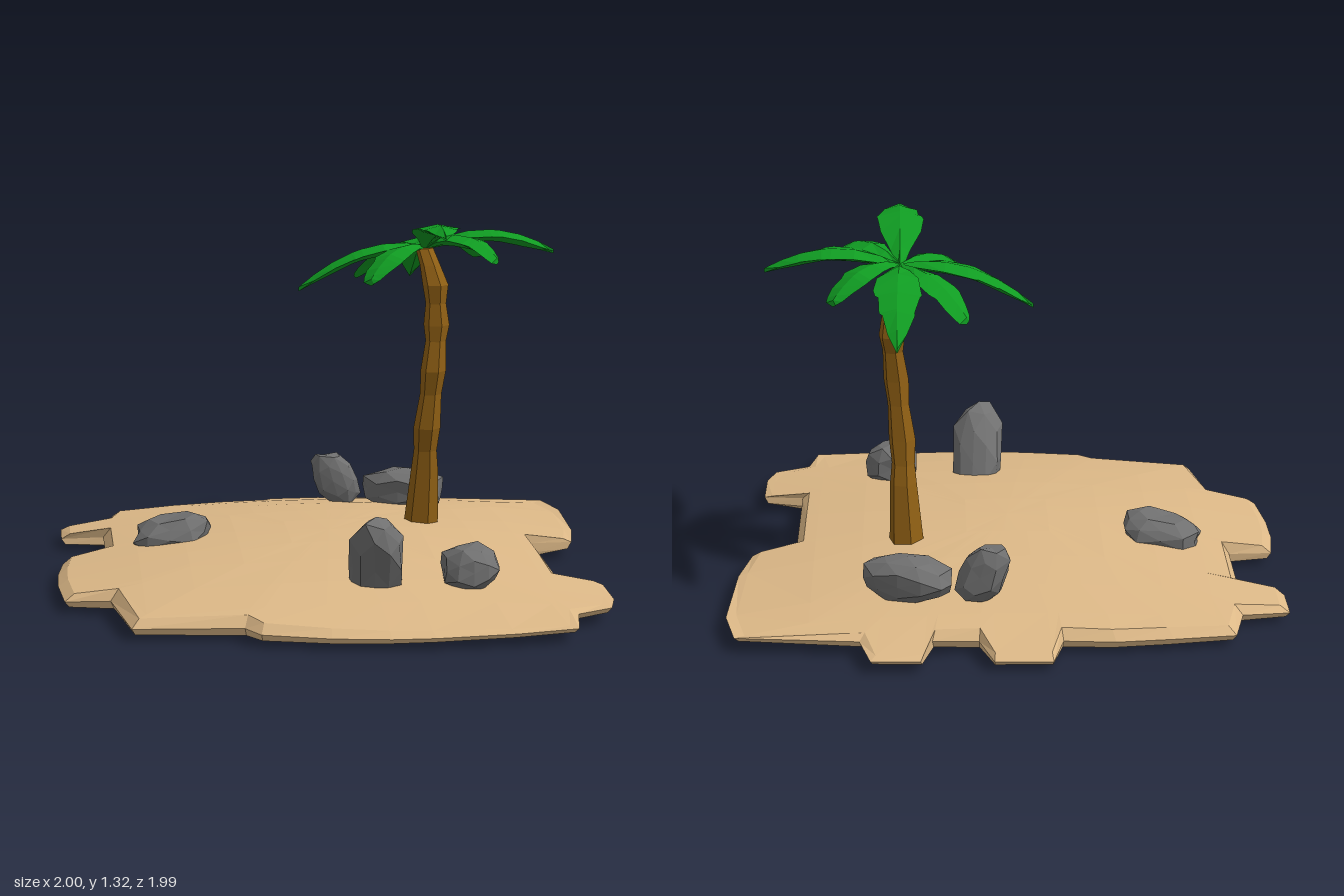
import * as THREE from 'three';

const material = (color) => new THREE.MeshStandardMaterial({ color, flatShading: true });
const sand = material(0xdcb887), bark = material(0x8f5f14), leafGreen = material(0x109c22), stone = material(0x707070);

// Skins a list of equally long closed rings of [x, y, z] points
function loft(rings) {
  const n = rings[0].length, index = [];
  for (let r = 0; r < rings.length - 1; r++) {
    for (let i = 0; i < n; i++) {
      const a = r * n + i, b = r * n + (i + 1) % n;
      index.push(a, a + n, b, b, a + n, b + n);
    }
  }
  const g = new THREE.BufferGeometry();
  g.setAttribute('position', new THREE.Float32BufferAttribute(rings.flat(2), 3));
  g.setIndex(index);
  const flat = g.toNonIndexed();
  flat.computeVertexNormals();
  return flat;
}

function mesh(name, geometry, mat) {
  const m = new THREE.Mesh(geometry, mat);
  m.name = name;
  return m;
}

// Sand island: a ragged outline, domed on top and flat below
function island() {
  const outline = [
    [-0.77, -0.82], [-0.55, -0.85], [-0.35, -0.87], [-0.17, -0.86], [-0.13, -1], [0.07, -1], [0.12, -0.86],
    [0.28, -0.86], [0.32, -1], [0.49, -1], [0.53, -0.86], [0.96, -0.82], [1, -0.65], [0.98, -0.3],
    [0.94, -0.12], [0.78, -0.09], [0.78, 0.17], [0.78, 0.44], [0.93, 0.47], [0.93, 0.65], [0.9, 0.75],
    [0.77, 0.81], [0.74, 0.96], [0.53, 0.985], [0.25, 0.99], [0.1, 0.98], [-0.1, 0.95], [-0.33, 0.89],
    [-0.38, 0.82], [-0.76, 0.77], [-0.82, 0.44], [-0.98, 0.4], [-1, 0.2], [-1, 0.05], [-0.98, -0.1],
    [-0.82, -0.13], [-0.82, -0.45], [-0.98, -0.48], [-0.98, -0.63], [-0.81, -0.66],
  ];
  const clamp = THREE.MathUtils.clamp;
  const core = outline.map(([x, z]) => [clamp(x, -0.76, 0.76), clamp(z, -0.8, 0.8)]);
  const dome = (x, z) => 0.04 + 0.14 * (1 - 0.8 * x * x) * (1 - 0.88 * z * z);
  const ring = (pts, s, height) => pts.map(([x, z]) => [x * s, height(x * s, z * s), z * s]);
  const lift = (x) => 0.02 * Math.max(0, x);
  return mesh('sandIsland', loft([
    ring(core, 0, () => 0.015),
    ring(core, 0.93, () => 0.018),
    ring(outline, 0.985, (x) => 0.028 + lift(x)),
    ring(outline, 1, (x, z) => 0.025 + 0.35 * dome(x, z) + lift(x)),
    ring(outline, 0.965, dome),
    ...[0.93, 0.7, 0.45, 0.2, 0].map((s) => ring(core, s, dome)),
  ]), sand);
}

// Trunk: six-sided rings [x, y, z, radius] following a gentle bend
function trunk() {
  const rows = [
    [0.37, 0.13, -0.18, 0.066], [0.38, 0.37, -0.152, 0.05], [0.38, 0.44, -0.14, 0.043], [0.383, 0.53, -0.122, 0.05],
    [0.395, 0.66, -0.114, 0.04], [0.402, 0.75, -0.103, 0.047], [0.412, 0.86, -0.112, 0.038], [0.415, 0.92, -0.117, 0.048],
    [0.412, 1.0, -0.117, 0.038], [0.41, 1.07, -0.118, 0.048], [0.393, 1.14, -0.14, 0.038], [0.375, 1.2, -0.168, 0.033],
    [0.375, 1.2, -0.168, 0],
  ];
  return mesh('trunk', loft(rows.map(([x, y, z, r]) => Array.from({ length: 6 }, (_, i) => {
    const a = (i / 6) * Math.PI * 2 + 0.25;
    return [x + r * Math.cos(a), y, z + r * Math.sin(a)];
  }))), bark);
}

// Leaf: diamond cross-sections along a curve; widths are [t, right, left]
const longWidths = [[0, 0.01, 0.01], [0.14, 0.035, 0.035], [0.33, 0.075, 0.07], [0.5, 0.085, 0.08], [0.56, 0.078, 0.085],
  [0.58, 0.066, 0.078], [0.72, 0.062, 0.06], [0.74, 0.05, 0.062], [0.88, 0.032, 0.034], [1, 0, 0]];
const shortWidths = [[0, 0.01, 0.01], [0.2, 0.03, 0.03], [0.4, 0.06, 0.055], [0.62, 0.068, 0.065], [0.7, 0.055, 0.064],
  [0.85, 0.055, 0.045], [0.95, 0.045, 0.03], [1, 0.035, 0.012], [1.01, 0, 0]];

function leaf(name, control, tip, widths) {
  const base = new THREE.Vector3(0.38, 1.2, -0.185);
  const end = new THREE.Vector3(...tip);
  const curve = new THREE.QuadraticBezierCurve3(base, new THREE.Vector3(...control), end);
  const along = end.clone().sub(base).setY(0).normalize();
  const side = along.clone().cross(new THREE.Vector3(0, 1, 0));
  return mesh(name, loft(widths.map(([t, right, left]) => {
    const p = curve.getPoint(Math.min(t, 1));
    const keel = 0.35 * Math.min(right + left, 0.1);
    const at = (s, y) => [p.x + side.x * s, p.y + y, p.z + side.z * s];
    return [at(right, -0.008), at(0, 0.008), at(-left, -0.008), at(0, -keel)];
  })), leafGreen);
}

function crown() {
  const g = new THREE.Group();
  g.name = 'palmCrown';
  g.add(
    leaf('leftLeaf', [0.62, 1.32, -0.18], [0.86, 1.18, -0.16], longWidths),
    leaf('rightLeaf', [0.14, 1.25, -0.19], [-0.09, 1.05, -0.19], longWidths),
    leaf('frontLeaf', [0.38, 1.37, 0.08], [0.385, 1.295, 0.27], longWidths),
    leaf('backLeaf', [0.39, 1.26, -0.42], [0.39, 1.03, -0.63], longWidths),
    leaf('frontLeftLeaf', [0.51, 1.31, -0.06], [0.61, 1.18, 0.04], shortWidths),
    leaf('frontRightLeaf', [0.25, 1.25, -0.05], [0.15, 1.11, 0.04], shortWidths),
    leaf('backLeftLeaf', [0.5, 1.28, -0.31], [0.61, 1.14, -0.42], shortWidths),
    leaf('backRightLeaf', [0.26, 1.22, -0.3], [0.15, 1.07, -0.41], shortWidths),
  );
  return g;
}

// Rock: a faceted boxy ball, jittered by position, then leaned and turned
function rock(name, [cx, cy, cz], [rx, ry, rz], { lean = [0, 0], slope = 0, turn = 0, seed = 0 } = {}) {
  const g = new THREE.IcosahedronGeometry(1, 1);
  const p = g.attributes.position, v = new THREE.Vector3();
  for (let i = 0; i < p.count; i++) {
    v.fromBufferAttribute(p, i);
    const norm = (Math.abs(v.x) ** 3.2 + Math.abs(v.y) ** 3.2 + Math.abs(v.z) ** 3.2) ** (1 / 3.2);
    const jitter = 0.96 + 0.08 * Math.sin(v.x * 5.1 + v.y * 7.3 + v.z * 3.7 + seed);
    v.multiplyScalar(jitter / norm);
    v.set(v.x * rx, v.y * ry, v.z * rz).applyAxisAngle(new THREE.Vector3(0, 1, 0), turn);
    p.setXYZ(i, cx + v.x + lean[0] * v.y, cy + v.y + slope * v.x, cz + v.z + lean[1] * v.y);
  }
  g.computeVertexNormals();
  return mesh(name, g, stone);
}

export function createModel() {
  const model = new THREE.Group();
  model.name = 'palmIsland';
  model.add(
    island(), trunk(), crown(),
    rock('tallFrontRock', [0.1, 0.193, 0.575], [0.095, 0.192, 0.09], { lean: [-0.06, 0.42], turn: -0.2, seed: 1 }),
    rock('smallFrontRock', [0.432, 0.178, 0.565], [0.1, 0.078, 0.102], { seed: 2.5 }),
    rock('rightRock', [-0.57, 0.155, -0.12], [0.145, 0.065, 0.115], { slope: 0.16, turn: -0.15, seed: 4 }),
    rock('roundBackRock', [0.365, 0.185, -0.6], [0.16, 0.078, 0.095], { turn: -0.4, seed: 0.6 }),
    rock('leaningBackRock', [0.1, 0.22, -0.645], [0.085, 0.105, 0.058], { lean: [-0.3, 0], turn: -0.25, seed: 3 }),
  );
  return model;
}
